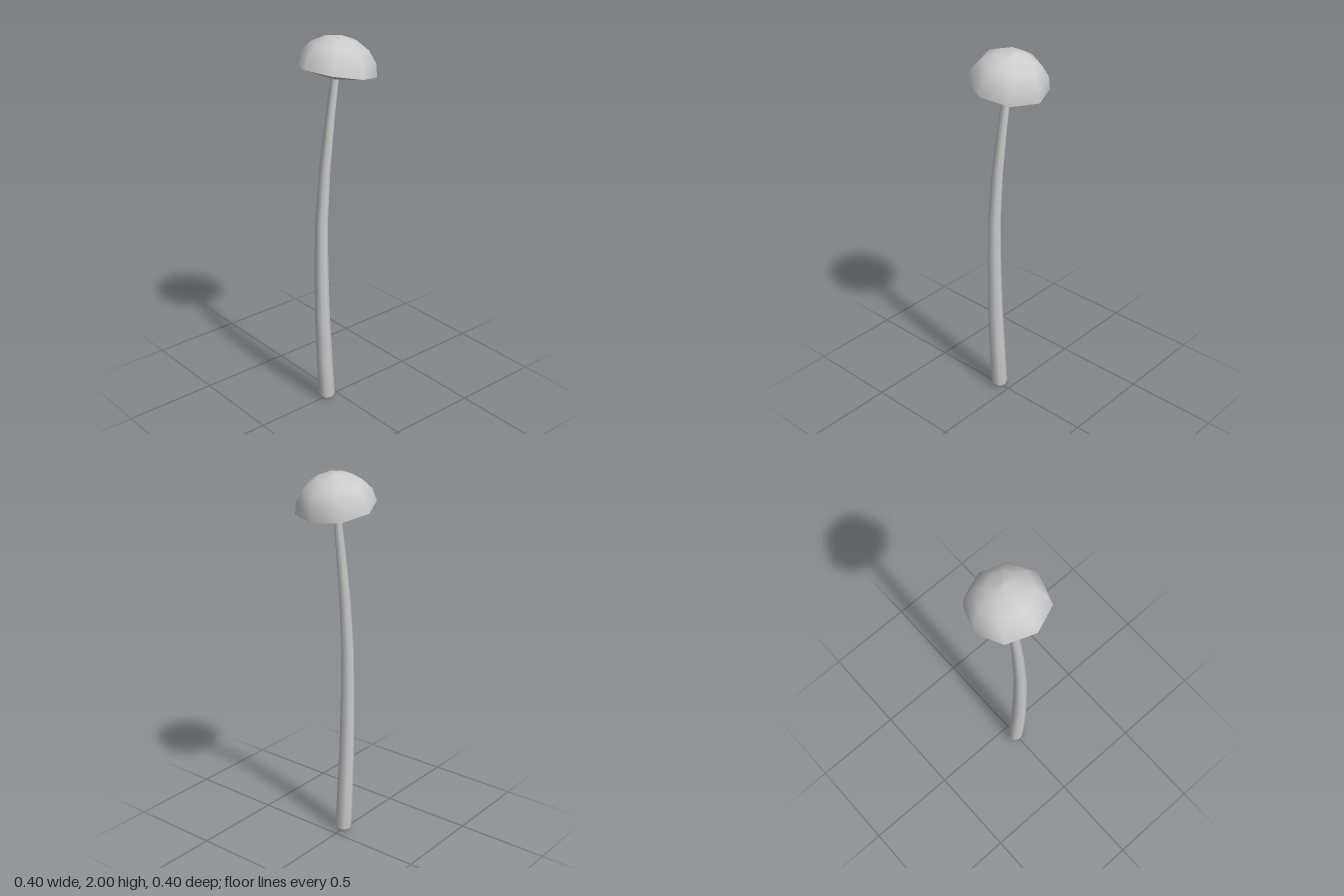
import * as THREE from 'three';

const SIDES = 8;
const material = new THREE.MeshStandardMaterial({ color: 0xcccccc });

// Eight-sided turned part; profile pairs [radius, y] run from bottom to top
function turned(name, profile) {
  const points = profile.map(([r, y]) => new THREE.Vector2(r, y));
  const mesh = new THREE.Mesh(new THREE.LatheGeometry(points, SIDES), material);
  mesh.name = name;
  return mesh;
}

export function createModel() {
  const model = new THREE.Group();
  model.name = 'mushroom';

  // Stem: tapered rings [centre x, y, radius], bowed sideways
  const rings = [
    [-0.066, 0.025, 0.045], [-0.08, 0.25, 0.043], [-0.093, 0.5, 0.04],
    [-0.098, 0.8, 0.036], [-0.096, 1.05, 0.033], [-0.074, 1.33, 0.029],
    [-0.038, 1.6, 0.024], [-0.006, 1.81, 0.02],
  ];
  const base = [[0, 0], [0.032, 0], [0.045, 0.025]];
  const stem = turned('stem', [...base, ...rings.slice(1).map(([, y, r]) => [r, y])]);
  const position = stem.geometry.attributes.position;
  for (let i = 0; i < position.count; i++) {
    const y = position.getY(i);
    let k = rings.findIndex((ring) => y <= ring[1] + 1e-6);
    if (k < 0) k = rings.length - 1;
    position.setX(i, position.getX(i) + rings[k][0]);
  }
  model.add(stem);

  // Cap: squashed dome over a shallow cone, tilted towards +x
  const cap = new THREE.Group();
  cap.name = 'cap';
  const dome = [];
  for (let i = 0; i <= 4; i++) {
    const a = (i / 4) * Math.PI / 2;
    dome.push([0.202 * Math.cos(a), 0.173 * Math.sin(a)]);
  }
  cap.add(turned('dome', dome));
  cap.add(turned('underside', [[0, -0.043], [0.202, 0]]));
  cap.position.set(0, 1.83, 0);
  cap.rotation.z = -0.2;
  model.add(cap);

  return model;
}
